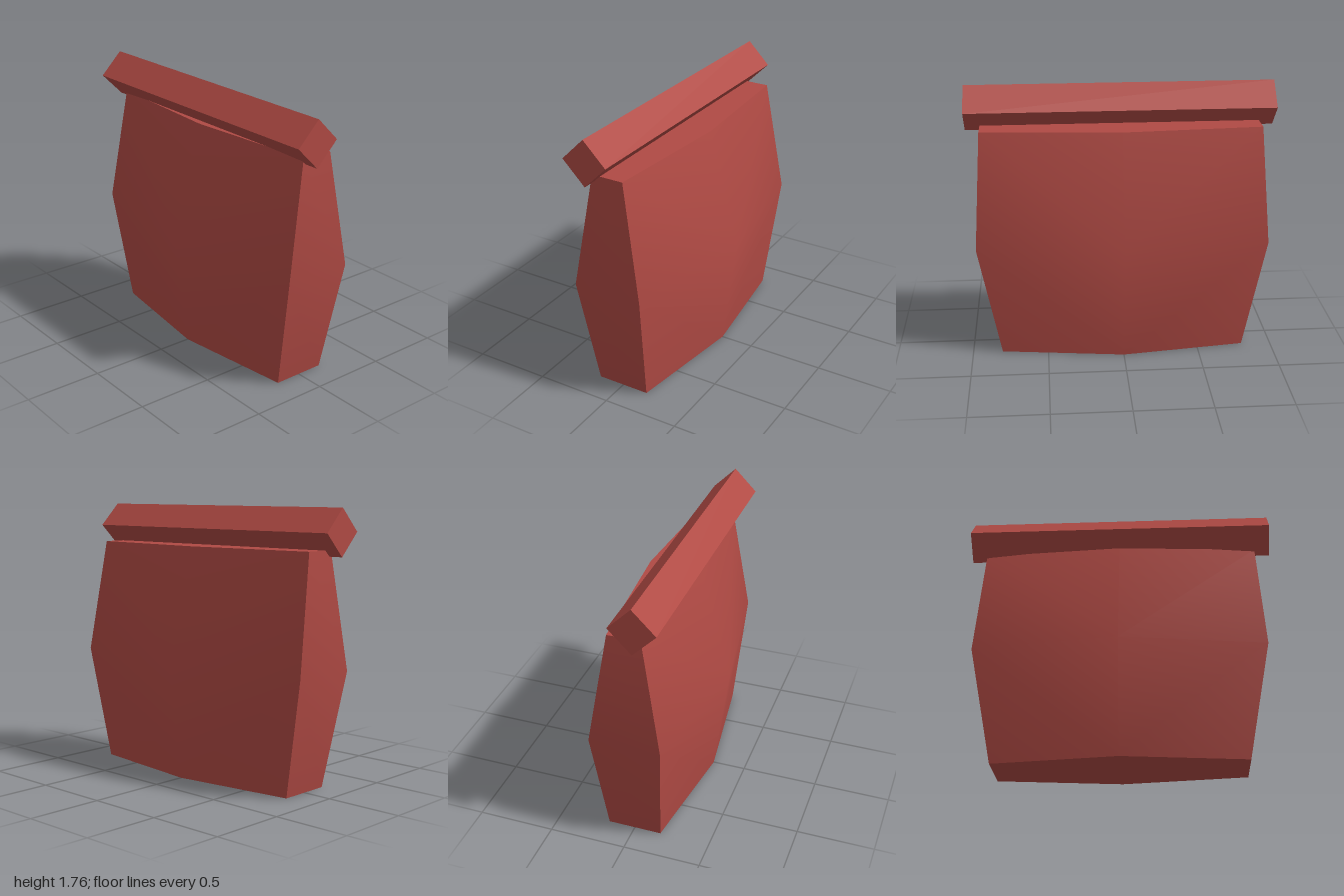
import * as THREE from 'three';

// Body cross-sections: height, half width, z at the corners, z at the middle ridge
const SECTIONS = [
  [0, 0.805, 0.175, 0.28],
  [0.755, 0.947, 0.23, 0.375],
  [1.505, 0.903, 0.105, 0.17],
];

// Six-sided ring, counter-clockwise seen from above
function ring([y, w, corner, ridge]) {
  return [
    [w, y, corner], [w, y, -corner], [0, y, -ridge],
    [-w, y, -corner], [-w, y, corner], [0, y, ridge],
  ];
}

// Smooth panel from a run of ring points, stacked through all sections
function panel(columns) {
  const rings = SECTIONS.map(ring);
  const n = columns.length;
  const index = [];
  for (let r = 0; r < rings.length - 1; r++) {
    for (let c = 0; c < n - 1; c++) {
      const a = r * n + c, b = a + 1, d = a + n, e = d + 1;
      // Diagonals run from the middle ridge up to the outer corner
      if (c === 0) index.push(a, b, d, b, e, d);
      else index.push(a, b, e, a, e, d);
    }
  }
  return build(rings.flatMap((points) => columns.map((i) => points[i])), index);
}

// Flat end cap
function cap(points) {
  const index = [];
  for (let i = 1; i < points.length - 1; i++) index.push(0, i, i + 1);
  return build(points, index);
}

function build(points, index) {
  const geometry = new THREE.BufferGeometry();
  geometry.setAttribute('position', new THREE.Float32BufferAttribute(points.flat(), 3));
  geometry.setIndex(index);
  geometry.computeVertexNormals();
  return geometry;
}

export function createModel() {
  const model = new THREE.Group();
  const red = new THREE.MeshStandardMaterial({ name: 'brick red', color: 0xb04a44 });
  const add = (parent, name, geometry) => {
    const mesh = new THREE.Mesh(geometry, red);
    mesh.name = name;
    parent.add(mesh);
    return mesh;
  };

  // Bulging body: smooth panels meeting at sharp edges
  const body = new THREE.Group();
  body.name = 'body';
  model.add(body);
  add(body, 'frontPanel', panel([4, 5, 0]));
  add(body, 'backPanel', panel([1, 2, 3]));
  add(body, 'leftPanel', panel([0, 1]));
  add(body, 'rightPanel', panel([3, 4]));
  add(body, 'topCap', cap(ring(SECTIONS[2])));
  add(body, 'bottomCap', cap(ring(SECTIONS[0]).reverse()));

  // Square top bar, turned onto its edge and set toward the front
  const bar = add(model, 'topBar', new THREE.BoxGeometry(2, 0.209, 0.209));
  bar.rotation.x = Math.PI / 4;
  bar.position.set(0, 1.615, 0.088);

  return model;
}
